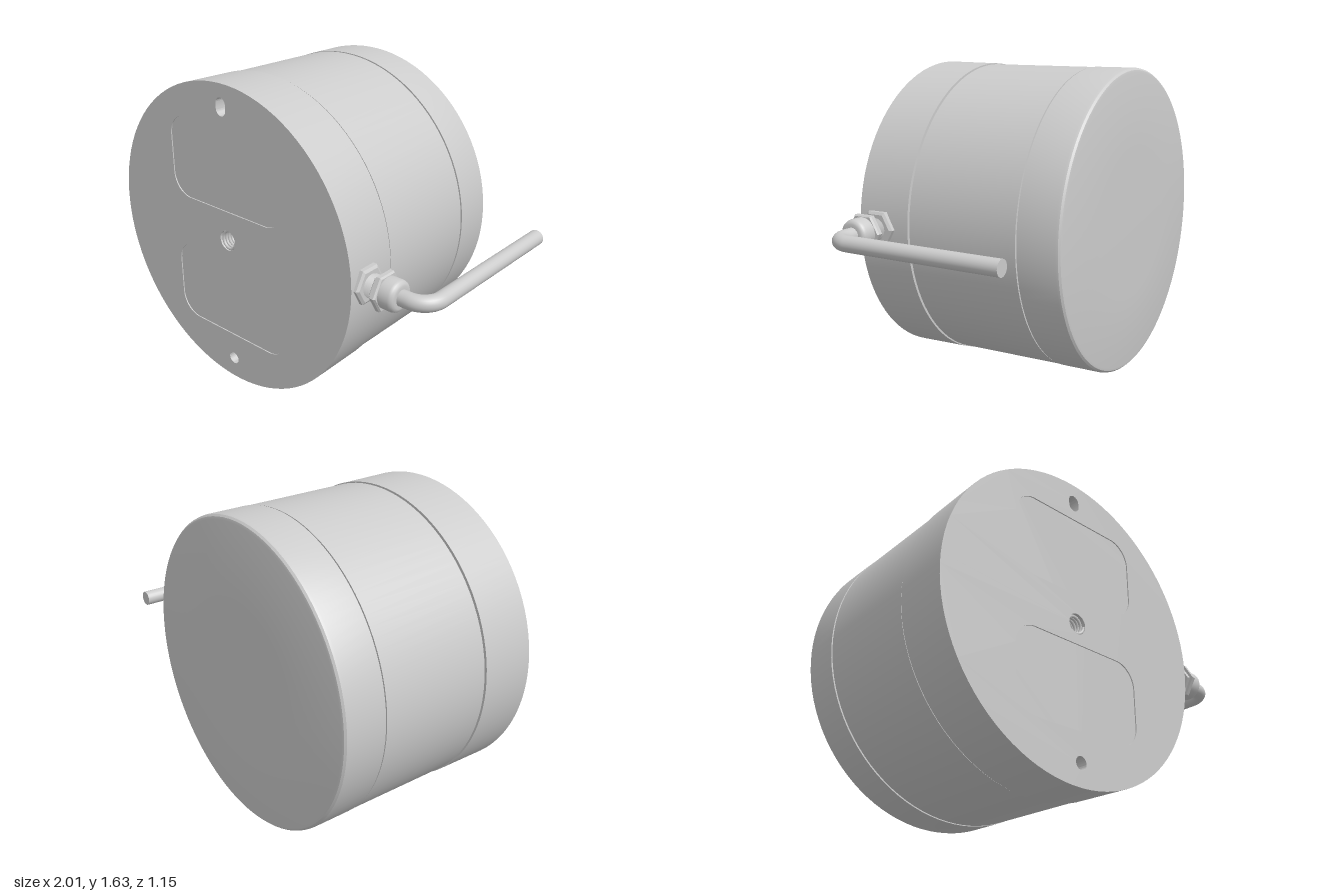
import * as THREE from 'three';
import { toCreasedNormals } from 'three/addons/utils/BufferGeometryUtils.js';

const material = new THREE.MeshStandardMaterial({ color: 0xcccccc, side: THREE.DoubleSide });
const V2 = (x, y) => new THREE.Vector2(x, y);
const V3 = (x, y, z) => new THREE.Vector3(x, y, z);

function add(parent, name, geometry, x = 0, y = 0, z = 0) {
  const mesh = new THREE.Mesh(geometry, material);
  mesh.name = name;
  mesh.position.set(x, y, z);
  parent.add(mesh);
  return mesh;
}

// Lathe whose profile is listed as [radius, distance along the axis]
function lathe(profile, segments, crease = 0.5) {
  const geometry = new THREE.LatheGeometry(profile.map(([r, a]) => V2(r, a)), segments);
  return toCreasedNormals(geometry, crease);
}

function circle(Type, x, y, r) {
  const path = new Type();
  path.absarc(x, y, r, 0, Math.PI * 2, false);
  return path;
}

// Rounded rectangle outline, also used for the slot
function roundedRect(cx, cy, w, h, r) {
  const path = new THREE.Path();
  const x = w / 2 - r, y = h / 2 - r;
  [[x, y], [-x, y], [-x, -y], [x, -y]].forEach(([dx, dy], i) =>
    path.absarc(cx + dx, cy + dy, r, i * Math.PI / 2, (i + 1) * Math.PI / 2, false));
  path.closePath();
  return path;
}

function plate(radius, holes, depth) {
  const shape = circle(THREE.Shape, 0, 0, radius);
  shape.holes.push(...holes);
  const geometry = new THREE.ExtrudeGeometry(shape, { depth, bevelEnabled: false, curveSegments: 48 });
  return toCreasedNormals(geometry, 0.5);
}

function createBody() {
  const body = new THREE.Group();
  body.name = 'body';
  body.position.set(-0.19, 0.815, 0);

  // Housing: domed back cap, middle drum and front ring, parted by narrow grooves
  const housing = lathe([
    [0, -0.575], [0.4, -0.571], [0.77, -0.565], [0.783, -0.562], [0.792, -0.553], [0.795, -0.54],
    [0.797, -0.34], [0.73, -0.34], [0.73, -0.332], [0.795, -0.332],
    [0.803, 0.272], [0.735, 0.272], [0.735, 0.281], [0.808, 0.281], [0.815, 0.569],
  ], 96);
  add(body, 'housing', housing.rotateX(Math.PI / 2));

  // Front face: thin sheet with two shallow recesses over a drilled plate
  const drilled = () => [
    circle(THREE.Path, 0, 0, 0.054),
    circle(THREE.Path, 0, -0.7, 0.033),
    roundedRect(0, 0.7, 0.066, 0.092, 0.033),
  ];
  const recesses = [0.38, -0.33].map(y => roundedRect(0, y, 0.78, 0.44, 0.12));
  add(body, 'frontSheet', plate(0.815, [...drilled(), ...recesses], 0.006), 0, 0, 0.569);
  add(body, 'drilledPlate', plate(0.808, drilled(), 0.08), 0, 0, 0.489);
  add(body, 'holeFloor', new THREE.CircleGeometry(0.8, 48), 0, 0, 0.488);

  // Screw thread inside the central hole
  const turns = [];
  for (let i = 0; i <= 80; i++) {
    const a = i / 80 * Math.PI * 8;
    turns.push(V3(0.048 * Math.cos(a), 0.048 * Math.sin(a), 0.495 + 0.072 * i / 80));
  }
  add(body, 'holeThread', new THREE.TubeGeometry(new THREE.CatmullRomCurve3(turns), 128, 0.008, 6));
  return body;
}

function createCableGland() {
  const gland = new THREE.Group();
  gland.name = 'cableGland';
  gland.position.set(0, 0.818, 0.46);

  // Turned parts lie along x; six sides make the nuts
  const turned = (name, profile, segments) => {
    const geometry = lathe(profile, segments, segments === 6 ? 0.2 : 0.6);
    add(gland, name, geometry.rotateZ(-Math.PI / 2));
  };
  turned('lockNut', [[0, 0.59], [0.1, 0.59], [0.1, 0.638], [0.085, 0.647], [0, 0.647]], 6);

  const thread = [];
  for (let i = 0; i <= 12; i++) thread.push([i % 2 ? 0.06 : 0.052, 0.64 + i * 0.005]);
  turned('threadedNeck', thread, 32);

  turned('innerNut', [[0, 0.697], [0.08, 0.697], [0.084, 0.701], [0.084, 0.714], [0, 0.714]], 6);
  turned('hexFlange', [[0, 0.714], [0.1, 0.714], [0.1, 0.734], [0.092, 0.742], [0, 0.742]], 6);
  turned('sealingCap', [
    [0, 0.735], [0.078, 0.735], [0.078, 0.795], [0.074, 0.808], [0.065, 0.817],
    [0.055, 0.82], [0.04, 0.82],
  ], 40);
  return gland;
}

function createCable() {
  const cable = new THREE.Group();
  cable.name = 'cable';
  const y = 0.818, z = 0.46, x = 0.96, end = -0.485, bend = 0.1, k = 0.55 * bend;

  // Straight out of the gland, round the bend, then straight to the back
  const path = new THREE.CurvePath();
  const a = V3(x - bend, y, z), b = V3(x, y, z - bend);
  path.add(new THREE.LineCurve3(V3(0.78, y, z), a));
  path.add(new THREE.CubicBezierCurve3(a, V3(a.x + k, y, z), V3(x, y, b.z + k), b));
  path.add(new THREE.LineCurve3(b, V3(x, y, end)));
  add(cable, 'cableSheath', new THREE.TubeGeometry(path, 90, 0.04, 24));
  add(cable, 'cableEnd', new THREE.CircleGeometry(0.04, 24).rotateY(Math.PI), x, y, end);
  return cable;
}

export function createModel() {
  const model = new THREE.Group();
  model.name = 'cylindricalSensor';
  model.add(createBody(), createCableGland(), createCable());
  return model;
}
